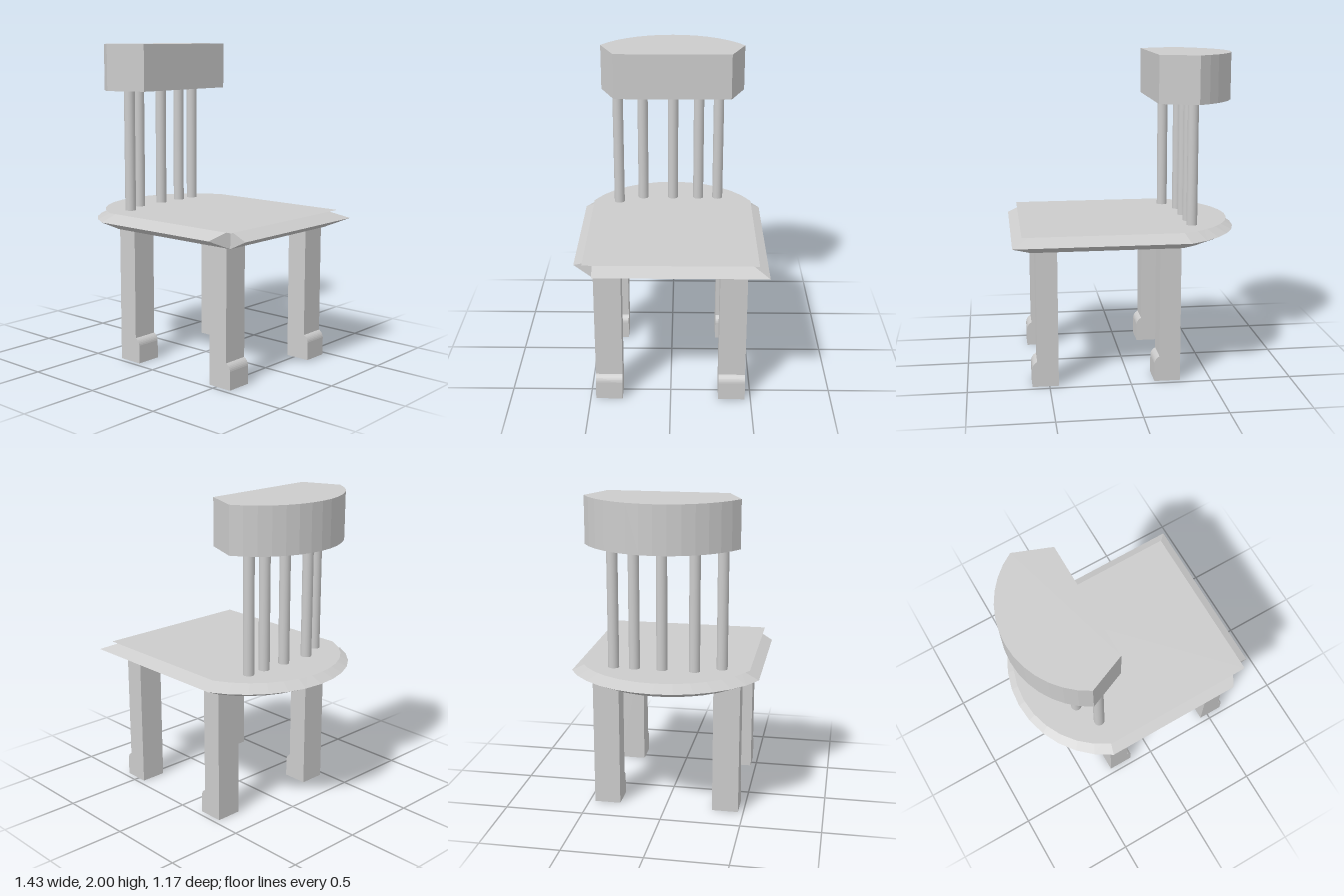
import * as THREE from 'three';

const material = new THREE.MeshStandardMaterial({ color: 0xcccccc, side: THREE.DoubleSide });

// Points of a rounded back [x, z], running from -z round to +z
function backArc(cx, radius, halfWidth, segments = 12) {
  const half = Math.asin(halfWidth / radius);
  return Array.from({ length: segments + 1 }, (_, i) => {
    const a = -half + (2 * half * i) / segments;
    return [cx - radius * Math.cos(a), radius * Math.sin(a)];
  });
}

const shapeOf = (points) => new THREE.Shape(points.map(([x, z]) => new THREE.Vector2(x, -z)));

function addMesh(parent, name, geometry) {
  const mesh = new THREE.Mesh(geometry, material);
  mesh.name = name;
  parent.add(mesh);
  return mesh;
}

// Bevelled rim: a wide middle ring tapering to narrower rings above and below
function rimGeometry(outer, inner, yLow, yMid, yHigh) {
  const pos = [];
  const n = outer.length;
  const put = ([x, z], y) => pos.push(x, y, z);
  for (let i = 0; i < n; i++) {
    const j = (i + 1) % n;
    put(outer[i], yMid); put(outer[j], yMid); put(inner[j], yHigh);
    put(outer[i], yMid); put(inner[j], yHigh); put(inner[i], yHigh);
    put(outer[j], yMid); put(outer[i], yMid); put(inner[i], yLow);
    put(outer[j], yMid); put(inner[i], yLow); put(inner[j], yLow);
  }
  const geometry = new THREE.BufferGeometry();
  geometry.setAttribute('position', new THREE.Float32BufferAttribute(pos, 3));
  geometry.computeVertexNormals();
  return geometry;
}

function createSeat() {
  const seat = new THREE.Group();
  seat.name = 'seat';
  const yLow = 0.845, yMid = 0.9, yHigh = 0.953;

  // Rim with a notch at the front left corner
  const notch = [0.6, 0.463];
  const outer = [[0.713, 0.463], [0.713, -0.585], ...backArc(-0.065, 0.65, 0.583), [0.54, 0.583], notch];
  const inner = [notch, [0.6, -0.465], ...backArc(-0.065, 0.53, 0.465), notch, notch];
  addMesh(seat, 'seatRim', rimGeometry(outer, inner, yLow, yMid, yHigh));

  // Top panel overhangs the rim slightly
  const panel = [[0.655, 0.523], [0.655, -0.525], ...backArc(-0.1, 0.575, 0.525)];
  const top = new THREE.ShapeGeometry(shapeOf(panel)).rotateX(-Math.PI / 2);
  addMesh(seat, 'seatTop', top).position.y = yHigh;

  const under = inner.slice(0, -2);
  const bottom = new THREE.ShapeGeometry(shapeOf(under.map(([x, z]) => [x, -z]))).rotateX(Math.PI / 2);
  addMesh(seat, 'seatUnderside', bottom).position.y = yLow;
  return seat;
}

// Square leg with a rounded toe at the front
function legGeometry() {
  const s = new THREE.Shape();
  s.moveTo(0, 0);
  s.lineTo(0.161, 0);
  s.lineTo(0.161, 0.115);
  s.quadraticCurveTo(0.158, 0.145, 0.13, 0.16);
  s.lineTo(0.13, 0.848);
  s.lineTo(0, 0.848);
  return new THREE.ExtrudeGeometry(s, { depth: 0.166, bevelEnabled: false, curveSegments: 6 });
}

export function createModel() {
  const chair = new THREE.Group();
  chair.name = 'chair';
  chair.add(createSeat());

  // Legs
  const leg = legGeometry();
  for (const [end, x] of [['front', 0.444], ['back', -0.31]]) {
    for (const [side, z] of [['Left', 0.3], ['Right', -0.464]]) {
      addMesh(chair, `${end}${side}Leg`, leg).position.set(x, 0, z);
    }
  }

  // Back spindles
  const spindle = new THREE.CylinderGeometry(0.034, 0.034, 0.765, 16);
  const spots = [[-0.327, 0.355], [-0.403, 0.197], [-0.403, -0.003], [-0.403, -0.173], [-0.403, -0.303]];
  spots.forEach(([x, z], i) => {
    addMesh(chair, `spindle${i + 1}`, spindle).position.set(x, 1.3325, z);
  });

  // Thick headrest with a rounded back and angled cheeks
  const outline = [[-0.18, 0.37], [-0.18, -0.375], ...backArc(-0.164, 0.526, 0.465, 14)];
  const head = new THREE.ExtrudeGeometry(shapeOf(outline), { depth: 0.29, bevelEnabled: false });
  addMesh(chair, 'headrest', head.rotateX(-Math.PI / 2)).position.y = 1.71;

  return chair;
}
